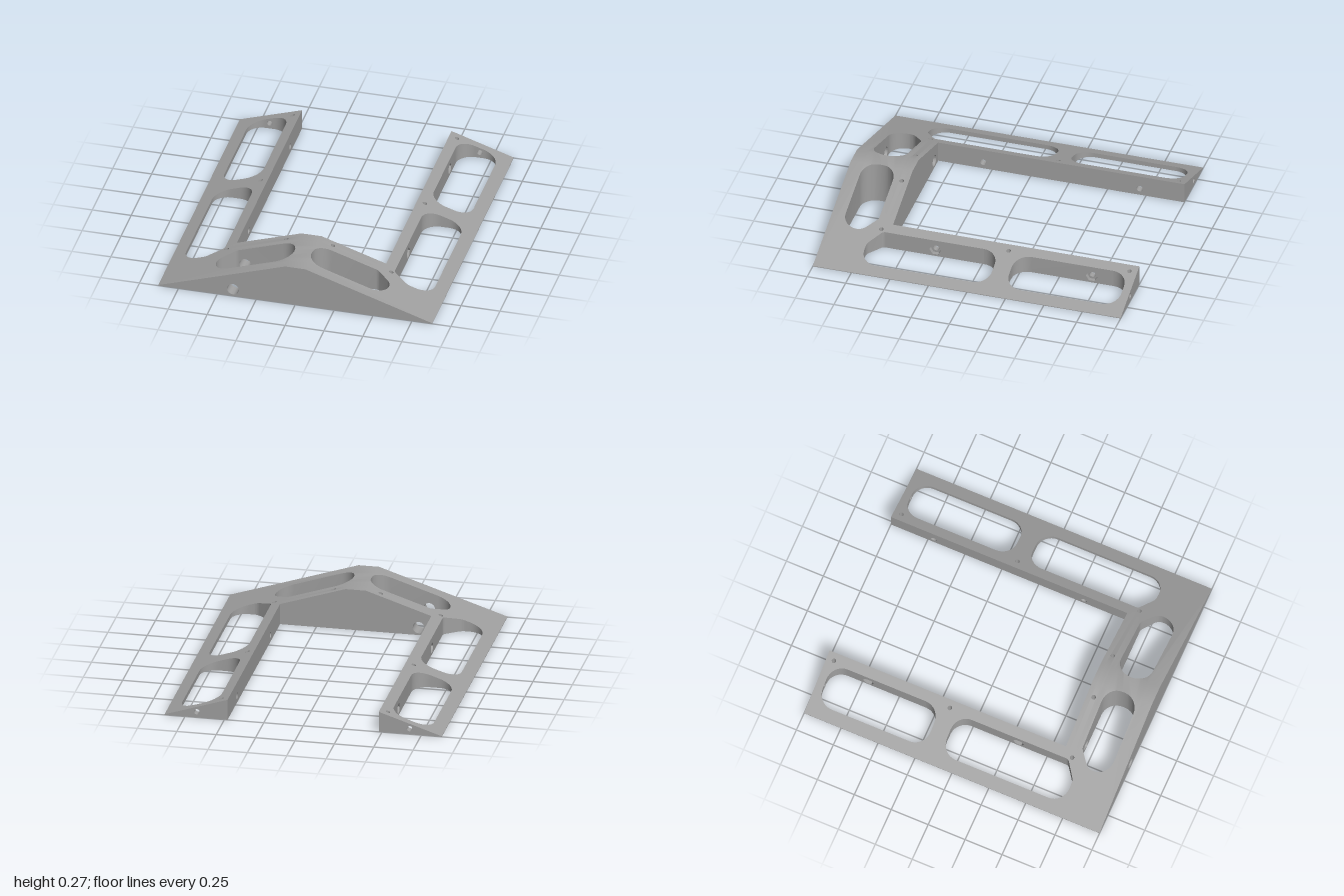
import * as THREE from 'three';
import { toCreasedNormals } from 'three/addons/utils/BufferGeometryUtils.js';

const RIDGE = 0.065, HALF = 0.88, PEAK = 0.27, LIP = 0.004;
const V2 = (x, y) => new THREE.Vector2(x, y);

// Height of the pitched top surface
const roof = (x) => LIP + (PEAK - LIP) * Math.min(1, (HALF - Math.abs(x)) / (HALF - RIDGE));

// Closed loop from corners [x, z, radius], each corner filleted
function filleted(corners) {
  const out = [];
  corners.forEach(([x, z, r], i) => {
    const B = V2(x, z);
    const A = V2(...corners.at(i - 1)), C = V2(...corners[(i + 1) % corners.length]);
    const u = A.sub(B).normalize(), v = C.sub(B).normalize();
    const half = Math.acos(u.dot(v)) / 2, t = r / Math.tan(half);
    const centre = u.clone().add(v).normalize().multiplyScalar(r / Math.sin(half)).add(B);
    const start = u.clone().multiplyScalar(t).add(B).sub(centre).angle();
    let sweep = v.clone().multiplyScalar(t).add(B).sub(centre).angle() - start;
    if (sweep > Math.PI) sweep -= 2 * Math.PI;
    if (sweep < -Math.PI) sweep += 2 * Math.PI;
    const n = 8;
    for (let k = 0; k <= n; k++) {
      const a = start + sweep * k / n;
      out.push(V2(centre.x + r * Math.cos(a), centre.y + r * Math.sin(a)));
    }
  });
  return out;
}

function circle(x, y, r, sides) {
  return Array.from({ length: sides }, (_, i) => {
    const a = 2 * Math.PI * i / sides;
    return V2(x + r * Math.cos(a), y + r * Math.sin(a));
  });
}

// Add loop points where edges cross the two roof creases
function splitAtRidges(loop) {
  const out = [];
  loop.forEach((p, i) => {
    const q = loop[(i + 1) % loop.length];
    out.push(p);
    [-RIDGE, RIDGE].map((c) => (c - p.x) / (q.x - p.x))
      .filter((t) => t > 1e-4 && t < 1 - 1e-4).sort((a, b) => a - b)
      .forEach((t) => out.push(p.clone().lerp(q, t)));
  });
  return out;
}

// Flat triangles of a shape with holes, as a list of [x, y]
function fill(outline, holes) {
  const shape = new THREE.Shape(outline);
  shape.holes = holes.map((h) => new THREE.Path(h));
  const p = new THREE.ShapeGeometry(shape).toNonIndexed().attributes.position;
  return Array.from({ length: p.count }, (_, i) => [p.getX(i), p.getY(i)]);
}

// Keep the part of a polygon on one side of x = c
function clip(poly, c, sign) {
  const out = [];
  poly.forEach((p, i) => {
    const q = poly[(i + 1) % poly.length];
    const a = sign * (p[0] - c), b = sign * (q[0] - c);
    if (a >= 0) out.push(p);
    if (a * b < 0) out.push([c, p[1] + (q[1] - p[1]) * (c - p[0]) / (q[0] - p[0])]);
  });
  return out;
}

function finish(positions) {
  const g = new THREE.BufferGeometry();
  g.setAttribute('position', new THREE.Float32BufferAttribute(positions, 3));
  return toCreasedNormals(g, 0.6);
}

export function createModel() {
  const group = new THREE.Group();
  const grey = new THREE.MeshStandardMaterial({ color: 0xa0a0a0 });
  grey.name = 'grey';
  const add = (name, geometry) => {
    const mesh = new THREE.Mesh(geometry, grey);
    mesh.name = name;
    group.add(mesh);
  };

  // Plan of the U-shaped frame
  const outline = splitAtRidges([[-HALF, -1], [-0.48, -1], [-0.48, 0.6], [0.48, 0.6],
    [0.48, -1], [HALF, -1], [HALF, 1], [-HALF, 1]].map((p) => V2(...p)));

  // Slots and small pin holes, mirrored on both sides
  const slots = [], pins = [], bores = [];
  const pinSpots = [[0.528, -0.95], [0.528, -0.165], [0.528, 0.662], [0.15, 0.645]];
  for (const s of [-1, 1]) {
    for (const corners of [
      [[0.545, -0.95, 0.1], [0.8, -0.95, 0.1], [0.8, -0.22, 0.1], [0.545, -0.22, 0.1]],
      [[0.545, -0.11, 0.1], [0.545, 0.645, 0.03], [0.65, 0.72, 0.06], [0.8, 0.72, 0.1], [0.8, -0.11, 0.1]],
      [[0.055, 0.7, 0.1], [0.455, 0.7, 0.04], [0.555, 0.78, 0.07], [0.555, 0.915, 0.1], [0.055, 0.915, 0.1]],
    ]) slots.push(splitAtRidges(filleted(corners.map(([x, z, r]) => [s * x, z, r]))));
    for (const [x, z] of pinSpots) pins.push(circle(s * x, z, 0.014, 16));

    // Screw holes with hexagonal nut pockets in the arms
    for (const z of [0.307, -0.709]) {
      bores.push({ axis: 'x', from: s * 0.48, to: s * 0.52, at: z, y: 0.045, r: 0.02, sides: 20 });
      bores.push({ axis: 'x', from: s * 0.52, to: s * 0.545, at: z, y: 0.045, r: 0.037, sides: 6, seat: 0.02 });
    }
    bores.push({ axis: 'z', from: -1, to: -0.95, at: s * 0.675, y: 0.038, r: 0.018, sides: 20 });
  }
  // Cable hole through the front bar
  for (const [from, to] of [[1, 0.915], [0.7, 0.6]])
    bores.push({ axis: 'z', from, to, at: -0.4, y: 0.05, r: 0.038, sides: 32 });

  // Top and underside
  const loops = [...slots, ...pins];
  const plan = fill(outline, loops), top = [], bottom = [];
  for (let i = 0; i < plan.length; i += 3) {
    const tri = plan.slice(i, i + 3);
    tri.forEach(([x, z]) => bottom.push(x, 0, z));
    for (const [lo, hi] of [[-1, -RIDGE], [-RIDGE, RIDGE], [RIDGE, 1]]) {
      const poly = clip(clip(tri, lo, 1), hi, -1);
      for (let k = 1; k < poly.length - 1; k++)
        for (const [x, z] of [poly[0], poly[k + 1], poly[k]]) top.push(x, roof(x), z);
    }
  }
  add('slopedTop', finish(top));
  add('underside', finish(bottom));

  // Upright walls of a loop, pierced where a bore meets them
  function walls(loop, inner) {
    const pts = THREE.ShapeUtils.isClockWise(loop) !== inner ? loop : [...loop].reverse();
    const out = [];
    pts.forEach((p, i) => {
      const q = pts[(i + 1) % pts.length], d = q.clone().sub(p), len = d.length();
      if (len < 1e-6) return;
      d.divideScalar(len);
      const holes = [];
      for (const b of bores) {
        const alongX = b.axis === 'x';
        if (Math.abs(alongX ? d.x : d.y) > 1e-4) continue;
        const plane = alongX ? p.x : p.y;
        if (Math.min(Math.abs(plane - b.from), Math.abs(plane - b.to)) > 1e-4) continue;
        const s = alongX ? (b.at - p.y) * d.y : (b.at - p.x) * d.x;
        if (s > b.r && s < len - b.r) holes.push(circle(s, b.y, b.r, b.sides));
      }
      const face = [V2(0, 0), V2(len, 0), V2(len, roof(q.x)), V2(0, roof(p.x))];
      for (const [s, y] of fill(face, holes)) out.push(p.x + d.x * s, y, p.y + d.y * s);
    });
    return finish(out);
  }
  add('outerWalls', walls(outline, false));
  slots.forEach((loop) => add('slotWalls', walls(loop, true)));
  pins.forEach((loop) => add('pinHoleWalls', walls(loop, true)));

  // Closed floors inside the pin holes
  for (const s of [-1, 1]) for (const [x, z] of pinSpots) for (const turn of [-1, 1])
    add('pinHoleFloor', new THREE.CircleGeometry(0.014, 16).rotateX(turn * Math.PI / 2).translate(s * x, 0.03, z));

  // Linings of the horizontal bores, facing inward, and nut seats
  for (const b of bores) {
    const out = [], a = circle(b.at, b.y, b.r, b.sides);
    const place = (p, t) => (b.axis === 'x' ? [t, p.y, p.x] : [p.x, p.y, t]);
    const flip = (b.axis === 'x') !== (b.to < b.from);
    const push = (...c) => out.push(...(flip ? c : c.reverse()).flat());
    a.forEach((p, i) => {
      const q = a[(i + 1) % a.length];
      const p0 = place(p, b.from), q0 = place(q, b.from), p1 = place(p, b.to), q1 = place(q, b.to);
      push(p0, q0, q1);
      push(p0, q1, p1);
    });
    add('boreLining', finish(out));
    if (b.seat) {
      const seat = new THREE.Shape(a);
      seat.holes.push(new THREE.Path(circle(b.at, b.y, b.seat, 20)));
      const g = new THREE.ShapeGeometry(seat).translate(-b.at, 0, 0);
      add('nutSeat', g.rotateY(Math.sign(b.to) * Math.PI / 2).translate(b.from, 0, b.at));
    }
  }
  return group;
}
